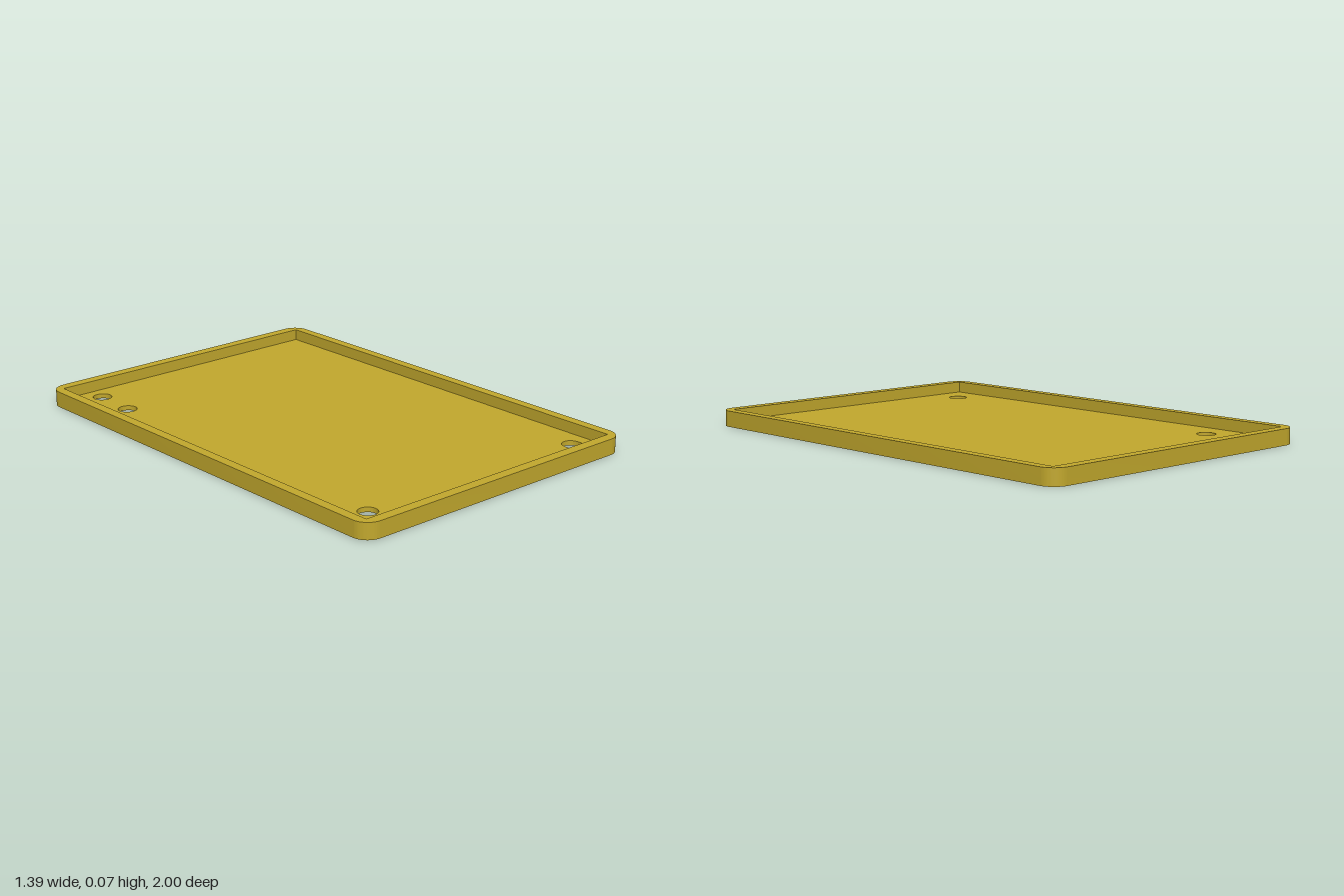
import * as THREE from 'three';
import { toCreasedNormals } from 'three/addons/utils/BufferGeometryUtils.js';

const HALF_W = 0.695, HALF_L = 1, HEIGHT = 0.068, CORNER = 0.07;
const INNER_W = 0.653, INNER_L = 0.955, FLOOR = 0.02;
const HOLE_R = 0.04;

// Rectangle with rounded corners
function roundedRect(w, l, r) {
  const s = new THREE.Shape();
  s.absarc(w - r, l - r, r, 0, Math.PI / 2);
  s.absarc(-w + r, l - r, r, Math.PI / 2, Math.PI);
  s.absarc(-w + r, -l + r, r, Math.PI, Math.PI * 1.5);
  s.absarc(w - r, -l + r, r, Math.PI * 1.5, Math.PI * 2);
  s.closePath();
  return s;
}

function rect(Type, w, l) {
  return new Type([[-w, -l], [w, -l], [w, l], [-w, l]].map(([x, y]) => new THREE.Vector2(x, y)));
}

// Round hole, or a slot when the two z values differ
function slot(x, z0, z1) {
  const p = new THREE.Path();
  p.absarc(x, -z0, HOLE_R, 0, Math.PI);
  p.absarc(x, -z1, HOLE_R, Math.PI, Math.PI * 2);
  p.closePath();
  return p;
}

// Extrude a plan upward from y = 0
function plate(name, shape, height, material) {
  const flat = new THREE.ExtrudeGeometry(shape, { depth: height, bevelEnabled: false, curveSegments: 16 });
  flat.rotateX(-Math.PI / 2);
  const mesh = new THREE.Mesh(toCreasedNormals(flat, Math.PI / 6), material);
  mesh.name = name;
  return mesh;
}

export function createModel() {
  const group = new THREE.Group();
  group.name = 'tray';
  const mustard = new THREE.MeshStandardMaterial({ color: 0xc2a82d });
  mustard.name = 'mustard';

  // Raised rim, rounded outside and square inside
  const rim = roundedRect(HALF_W, HALF_L, CORNER);
  rim.holes.push(rect(THREE.Path, INNER_W, INNER_L));
  group.add(plate('rim', rim, HEIGHT, mustard));

  // Thin floor with three round holes and one slot
  const floor = rect(THREE.Shape, INNER_W, INNER_L);
  floor.holes.push(
    slot(-0.513, -0.872, -0.872),
    slot(-0.523, -0.673, -0.673),
    slot(-0.523, 0.823, 0.823),
    slot(0.56, 0.85, 0.897),
  );
  group.add(plate('floor', floor, FLOOR, mustard));
  return group;
}
